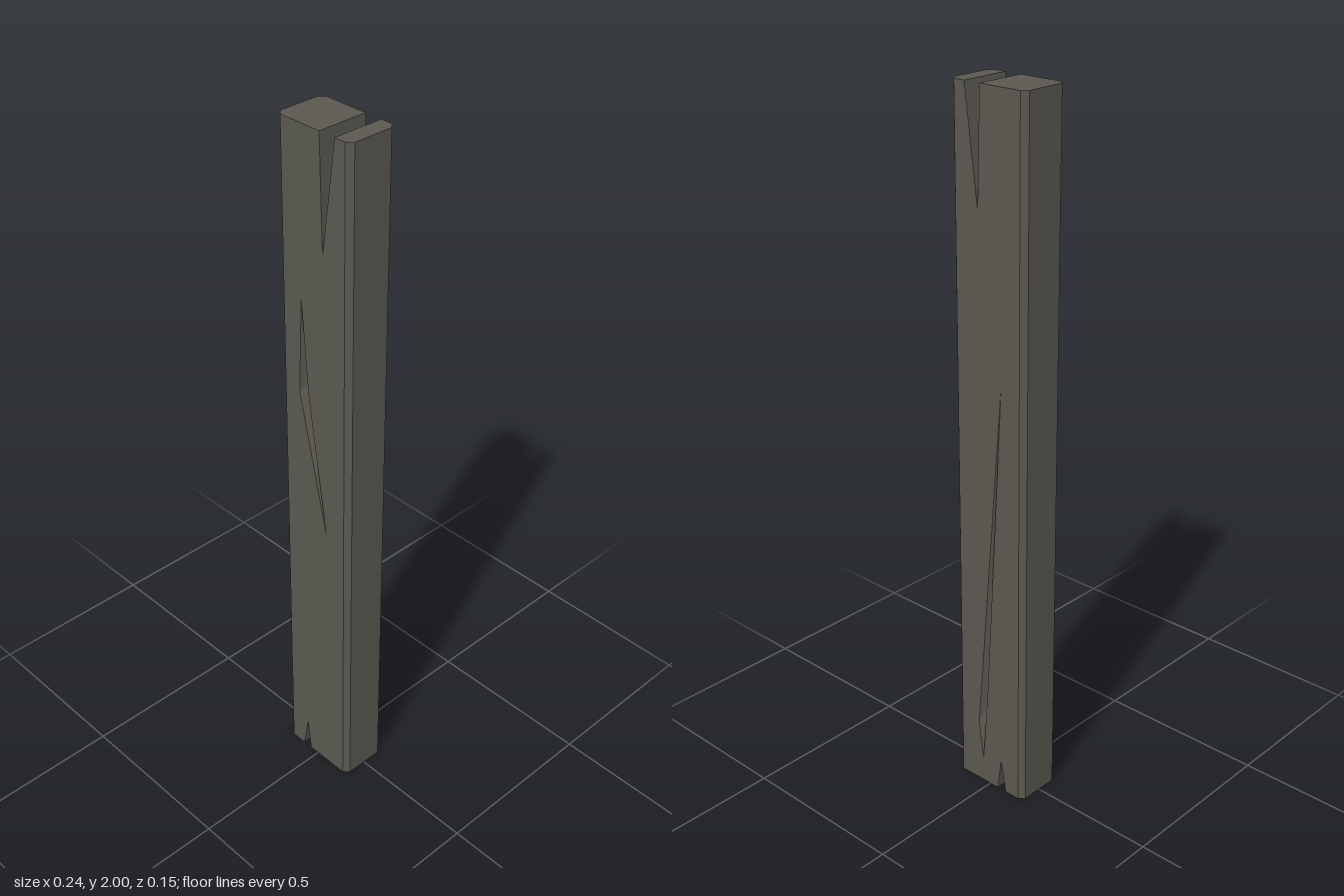
import * as THREE from 'three';
import { mergeGeometries } from 'three/addons/utils/BufferGeometryUtils.js';

const W = 0.122, D = 0.073, BEVEL = 0.015, H = 2;
const XI = W - BEVEL, ZI = D - BEVEL;

// Plank outline inside the bevels, counter-clockwise, with the split in each end
const OUTLINE = [
  [-XI, 0], [-0.06, 0], [-0.042, 0.1], [-0.03, 0], [XI, 0],
  [XI, H], [0.073, H], [0.032, 1.69], [0.023, H], [-XI, H],
];

const FRONT_CRACK = { rim: [[-0.045, 1.545], [-0.055, 1.27], [0.042, 0.855], [-0.022, 1.27]], floor: [-0.04, 1.3, 0.03] };
const BACK_CRACK = { rim: [[-0.045, 1.245], [0.042, 0.195], [0.026, 0.075], [0.008, 0.31]], floor: [0.022, 0.26, 0.025] };

// Flat-shaded geometry from convex polygons, each a list of [x, y, z]
function polygons(list) {
  const pos = [];
  for (const p of list) {
    for (let i = 1; i < p.length - 1; i++) pos.push(...p[0], ...p[i], ...p[i + 1]);
  }
  const g = new THREE.BufferGeometry();
  g.setAttribute('position', new THREE.Float32BufferAttribute(pos, 3));
  g.computeVertexNormals();
  return g;
}

// Broad face with a carved crack; mirror = -1 makes the back
function broadFace(crack, mirror) {
  const flat = (pts) => {
    const v = pts.map(([x, y]) => new THREE.Vector2(x * mirror, y));
    return THREE.ShapeUtils.isClockWise(v) ? v.reverse() : v;
  };
  const rim = flat(crack.rim);
  const shape = new THREE.Shape(flat(OUTLINE));
  shape.holes.push(new THREE.Path(rim));
  const face = new THREE.ShapeGeometry(shape).toNonIndexed();
  face.deleteAttribute('uv');
  face.translate(0, 0, D);
  const [fx, fy, depth] = crack.floor;
  const pit = polygons(rim.map((a, i) => {
    const b = rim[(i + 1) % rim.length];
    return [[a.x, a.y, D], [b.x, b.y, D], [fx * mirror, fy, D - depth]];
  }));
  const g = mergeGeometries([face, pit]);
  return mirror < 0 ? g.rotateY(Math.PI) : g;
}

// End faces and the walls of the splits
function endWalls() {
  const list = [];
  OUTLINE.forEach(([ax, ay], i) => {
    const [bx, by] = OUTLINE[(i + 1) % OUTLINE.length];
    if (ax === bx) return; // long sides are built by bevelledSide
    list.push([[ax, ay, D], [ax, ay, -D], [bx, by, -D], [bx, by, D]]);
  });
  return polygons(list);
}

// Long narrow side with its two bevels and end caps
function bevelledSide(angle) {
  const prof = [[XI, D], [W, ZI], [W, -ZI], [XI, -D]];
  const at = (y) => prof.map(([x, z]) => [x, y, z]);
  const lo = at(0), hi = at(H);
  const list = [0, 1, 2].map((i) => [lo[i], lo[i + 1], hi[i + 1], hi[i]]);
  list.push(hi, [...lo].reverse());
  return polygons(list).rotateY(angle);
}

export function createModel() {
  const group = new THREE.Group();
  group.name = 'crackedPlank';
  const wood = new THREE.MeshStandardMaterial({ color: 0x5a5850, flatShading: true });
  const parts = {
    frontFace: broadFace(FRONT_CRACK, 1),
    backFace: broadFace(BACK_CRACK, -1),
    splitEnds: endWalls(),
    leftSide: bevelledSide(0),
    rightSide: bevelledSide(Math.PI),
  };
  for (const [name, geometry] of Object.entries(parts)) {
    const mesh = new THREE.Mesh(geometry, wood);
    mesh.name = name;
    group.add(mesh);
  }
  return group;
}
